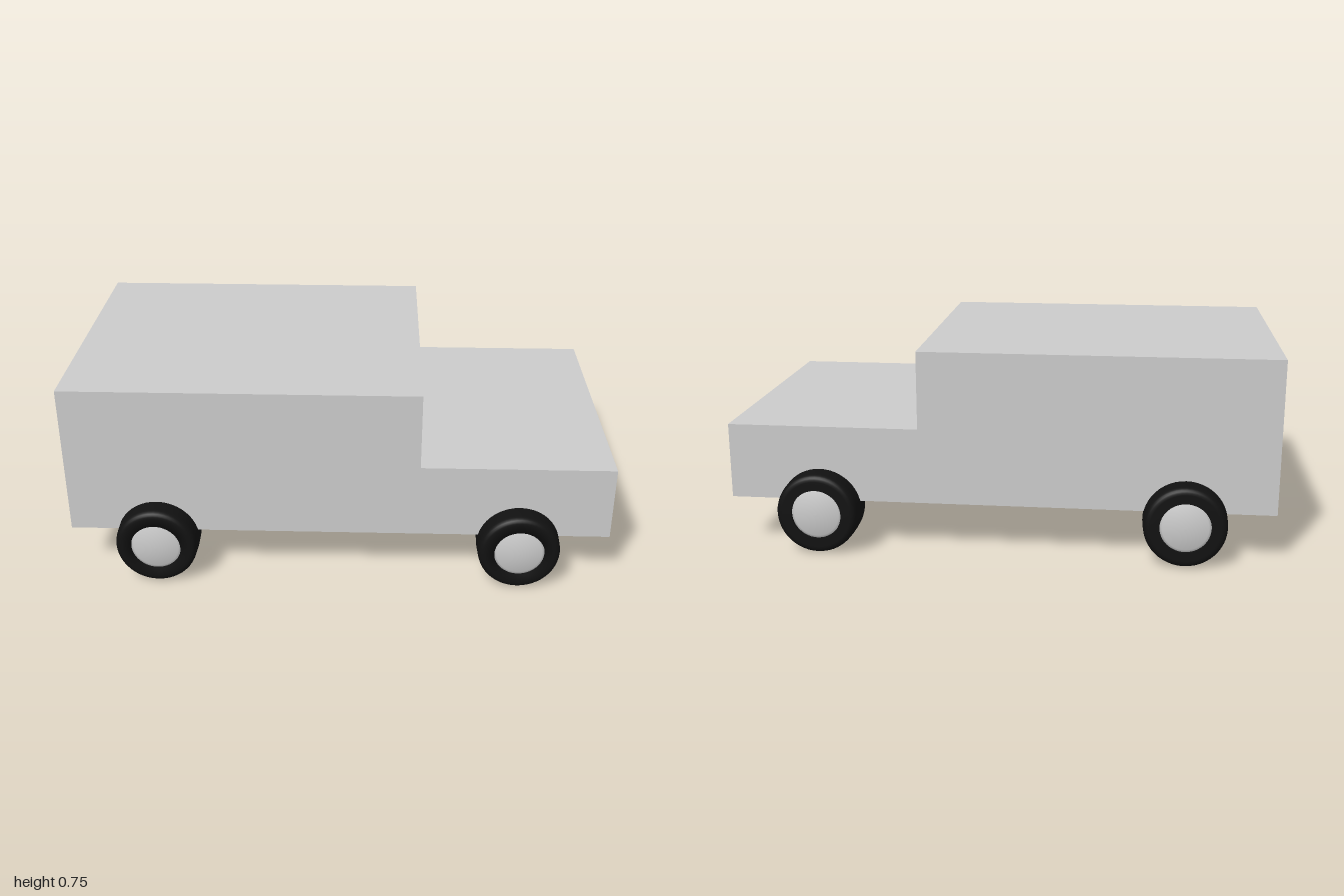
import * as THREE from 'three';

export function createModel() {
  const model = new THREE.Group();
  const grey = new THREE.MeshStandardMaterial({ color: 0xcccccc });
  const black = new THREE.MeshStandardMaterial({ color: 0x111111 });

  // Body: stepped side profile extruded across the width
  const halfWidth = 0.535;
  const profile = new THREE.Shape([
    [-1, 0.185], [1, 0.185], [1, 0.465], [0.295, 0.465], [0.295, 0.752], [-1, 0.752],
  ].map(([x, y]) => new THREE.Vector2(x, y)));
  const bodyGeometry = new THREE.ExtrudeGeometry(profile, { depth: 2 * halfWidth, bevelEnabled: false });
  bodyGeometry.translate(0, 0, -halfWidth);
  const body = new THREE.Mesh(bodyGeometry, grey);
  body.name = 'body';
  model.add(body);

  // Tyre: closed ring section with rounded shoulders, axis along z
  const section = new THREE.Path();
  section.moveTo(0.092, -0.082);
  section.lineTo(0.125, -0.082);
  section.quadraticCurveTo(0.148, -0.082, 0.15, -0.055);
  section.lineTo(0.152, 0);
  section.lineTo(0.15, 0.055);
  section.quadraticCurveTo(0.148, 0.082, 0.125, 0.082);
  section.lineTo(0.092, 0.082);
  section.lineTo(0.092, -0.082);
  const tyreGeometry = new THREE.LatheGeometry(section.getPoints(6), 48).rotateX(Math.PI / 2);

  // Hub: shallow dome on both faces of the wheel
  const hubPoints = [];
  for (let i = 0; i <= 16; i++) {
    const t = -1 + i / 8;
    const side = t < 0 ? -1 : 1;
    const r = 0.095 * (1 - Math.abs(t));
    const bulge = 0.016 * (1 - (r / 0.095) ** 2);
    if (t === 0) hubPoints.push(new THREE.Vector2(0.095, -0.07), new THREE.Vector2(0.095, 0.07));
    else hubPoints.push(new THREE.Vector2(r, side * (0.07 + bulge)));
  }
  const hubGeometry = new THREE.LatheGeometry(hubPoints, 40).rotateX(Math.PI / 2);

  // Four wheels
  for (const x of [-0.674, 0.663]) {
    for (const z of [-0.53, 0.53]) {
      const wheel = new THREE.Group();
      wheel.name = (x > 0 ? 'front' : 'rear') + 'Wheel' + (z > 0 ? 'Near' : 'Far');
      const tyre = new THREE.Mesh(tyreGeometry, black);
      tyre.name = 'tyre';
      const hub = new THREE.Mesh(hubGeometry, grey);
      hub.name = 'hub';
      wheel.add(tyre, hub);
      wheel.position.set(x, 0.152, z);
      model.add(wheel);
    }
  }
  return model;
}
